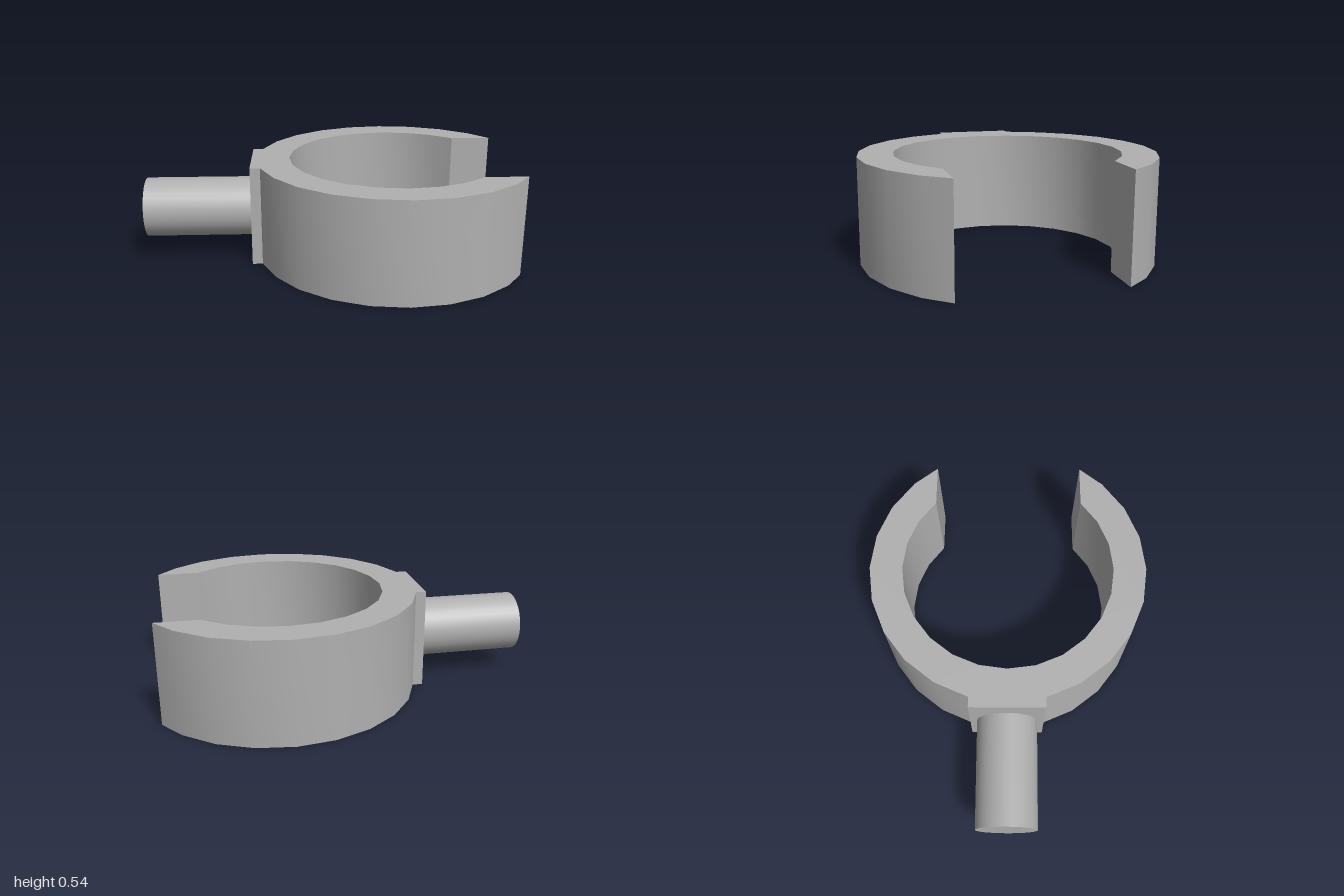
import * as THREE from 'three';
import { toCreasedNormals } from 'three/addons/utils/BufferGeometryUtils.js';

const HEIGHT = 0.543, CENTER_X = 0.365, OUTER = 0.755, INNER = 0.577, STEP = Math.PI / 12;

export function createModel() {
  const group = new THREE.Group();
  const grey = new THREE.MeshStandardMaterial({ color: 0xb0b0b0 });
  grey.name = 'grey';

  const arc = (radius, i) => new THREE.Vector2(
    CENTER_X + radius * Math.cos(i * STEP), radius * Math.sin(i * STEP));

  // Half outline of the open clip: jaw tip, outer arc, mounting pad
  const outerHalf = [new THREE.Vector2(0.998, 0.407)];
  for (let i = 3; i <= 10; i++) outerHalf.push(arc(OUTER, i));
  outerHalf.push(new THREE.Vector2(-0.365, 0.2), new THREE.Vector2(-0.42, 0.2));

  // Mirror the outer half, then return along the inner arc
  const mirrored = outerHalf.map((p) => new THREE.Vector2(p.x, -p.y)).reverse();
  const inner = [];
  for (let i = 21; i >= 3; i--) inner.push(arc(INNER, i));
  const outline = new THREE.Shape([...outerHalf, ...mirrored, ...inner]);

  const clipGeometry = new THREE.ExtrudeGeometry(outline, { depth: HEIGHT, bevelEnabled: false });
  clipGeometry.rotateX(-Math.PI / 2);
  const clip = new THREE.Mesh(toCreasedNormals(clipGeometry, 0.45), grey);
  clip.name = 'openClipRing';
  group.add(clip);

  // Round mounting stem
  const stemGeometry = new THREE.CylinderGeometry(0.163, 0.163, 0.58, 32);
  stemGeometry.rotateZ(Math.PI / 2);
  const stem = new THREE.Mesh(stemGeometry, grey);
  stem.name = 'mountingStem';
  stem.position.set(-0.71, HEIGHT / 2, 0);
  group.add(stem);

  return group;
}
